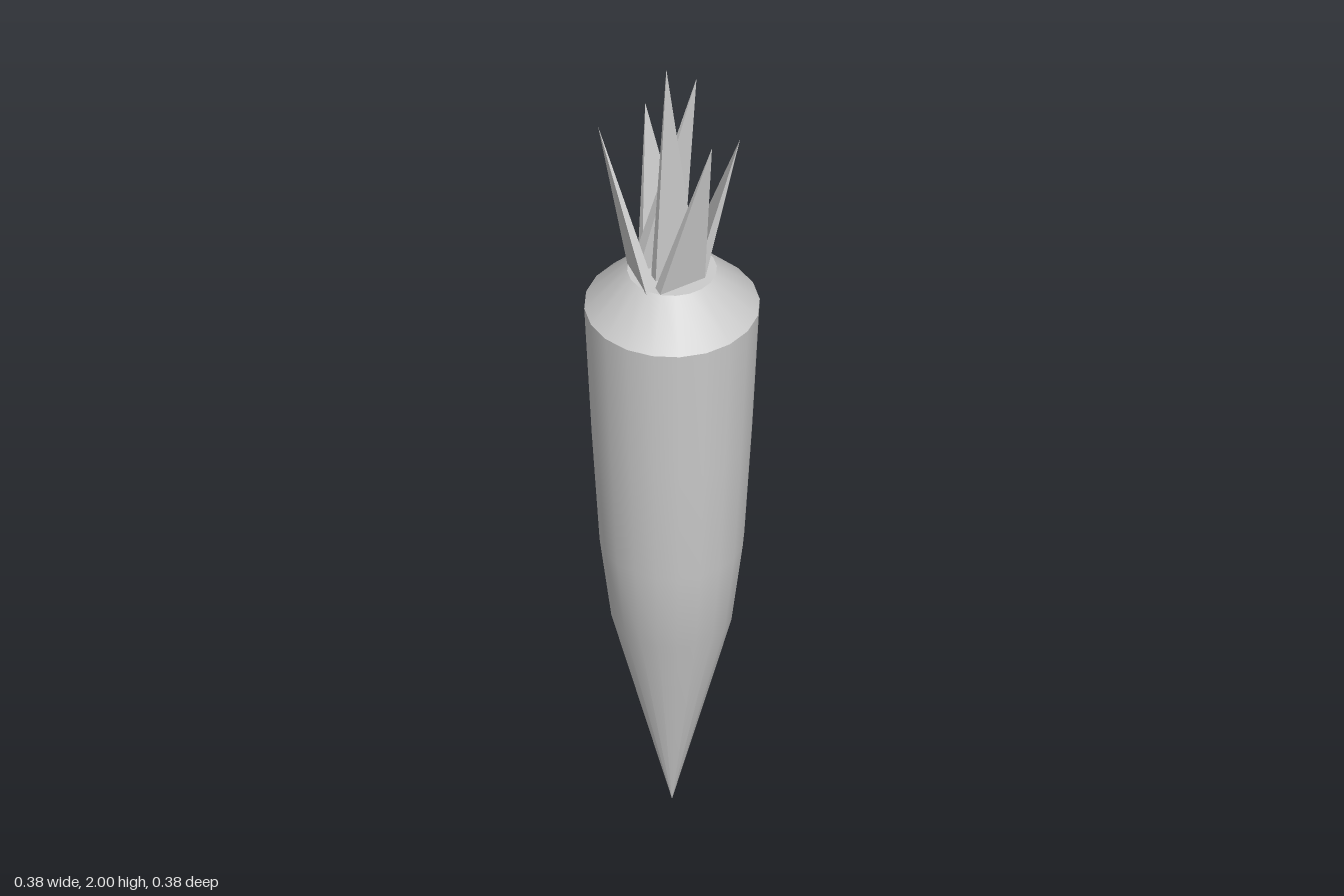
import * as THREE from 'three';
import { ConvexGeometry } from 'three/addons/geometries/ConvexGeometry.js';

const SIDES = 20;
const TOP = 1.43;

// Leaf blades: tip [x, y, z], then three base corners [x, z]
const LEAVES = [
  { name: 'centreLeaf', tip: [-0.028, 2.0, 0.035], base: [[-0.05, 0.004], [0.052, 0.018], [-0.05, 0.028]] },
  { name: 'innerBackLeaf', tip: [0.062, 1.915, -0.012], base: [[-0.078, -0.043], [-0.073, -0.015], [0.04, -0.03]] },
  { name: 'backLeaf', tip: [-0.019, 1.81, -0.101], base: [[0.055, -0.046], [-0.053, -0.038], [-0.055, -0.058]] },
  { name: 'frontLeaf', tip: [0.04, 1.83, 0.124], base: [[-0.06, 0.048], [0.052, 0.057], [-0.06, 0.075]] },
  { name: 'leftLeaf', tip: [0.12, 1.805, 0.089], base: [[0.063, -0.057], [0.032, 0.048], [0.053, 0.056]] },
  { name: 'rightLeaf', tip: [-0.138, 1.8, -0.08], base: [[-0.08, -0.055], [-0.06, 0.053], [-0.085, 0.06]] },
];

export function createModel() {
  const group = new THREE.Group();
  const skin = new THREE.MeshStandardMaterial({ color: 0xcccccc });
  const leafMaterial = new THREE.MeshStandardMaterial({ color: 0xcccccc, flatShading: true });

  // Revolved section, profile given as [radius, height] from bottom to top
  const addLathe = (name, profile) => {
    const points = profile.map(([r, y]) => new THREE.Vector2(r, y));
    const mesh = new THREE.Mesh(new THREE.LatheGeometry(points, SIDES), skin);
    mesh.name = name;
    group.add(mesh);
  };

  // Root: separate sections keep the shoulder and crown edges sharp
  addLathe('root', [[0, 0], [0.13, 0.505], [0.155, 0.71], [0.172, 1.0], [0.188, 1.335]]);
  addLathe('shoulder', [[0.188, 1.335], [0.096, TOP]]);
  addLathe('crown', [[0.096, TOP], [0, TOP]]);

  // Leaves: slim three-sided spikes rising from the crown
  const leaves = new THREE.Group();
  leaves.name = 'leaves';
  for (const { name, tip, base } of LEAVES) {
    const corners = base.map(([x, z]) => new THREE.Vector3(x, TOP - 0.003, z));
    const mesh = new THREE.Mesh(new ConvexGeometry([new THREE.Vector3(...tip), ...corners]), leafMaterial);
    mesh.name = name;
    leaves.add(mesh);
  }
  group.add(leaves);

  return group;
}
